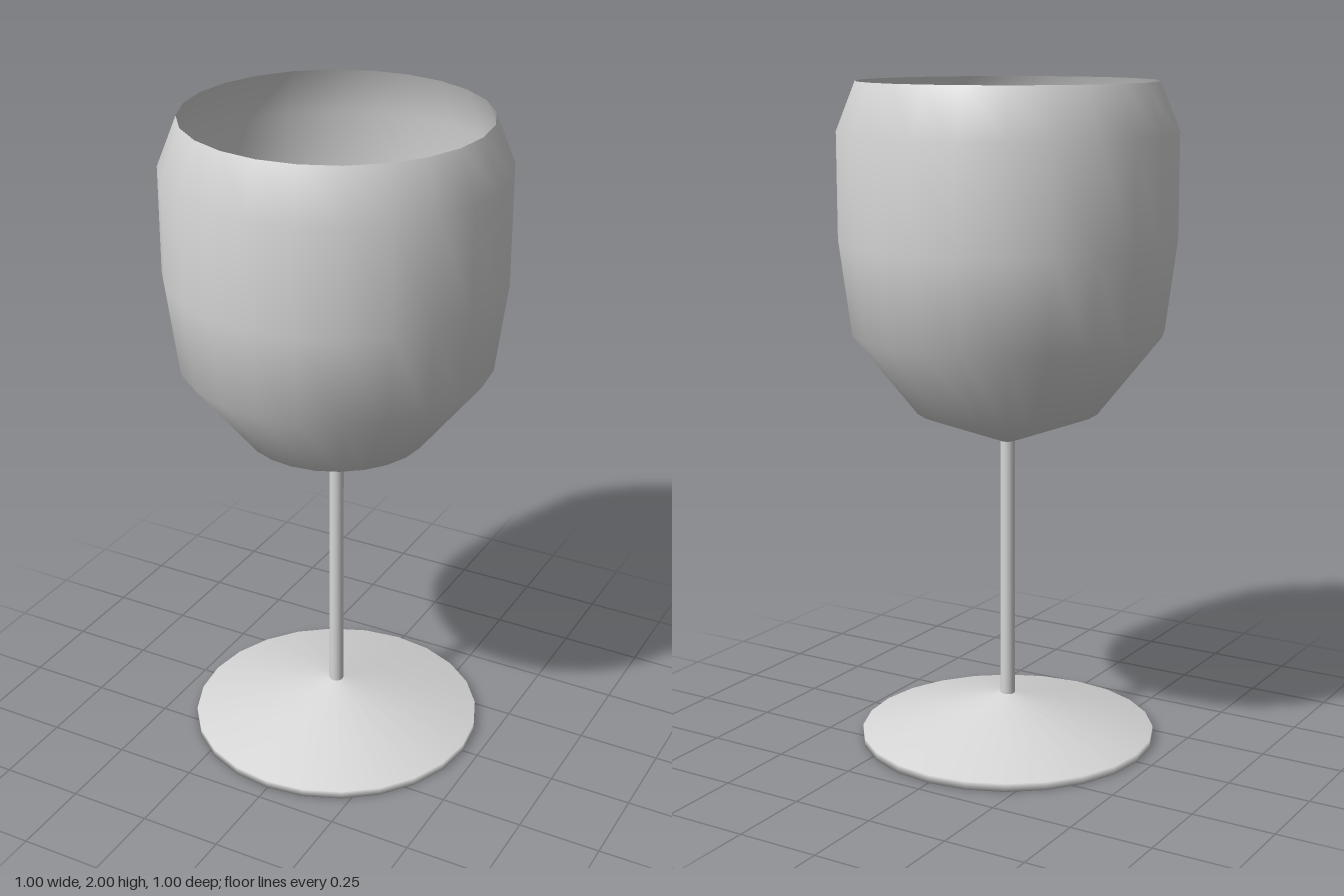
import * as THREE from 'three';

const SIDES = 24;

const glass = new THREE.MeshStandardMaterial({ color: 0xd6d6d6, side: THREE.DoubleSide });
glass.name = 'clear grey glass';
const redWine = new THREE.MeshStandardMaterial({ color: 0x7a3343 });
redWine.name = 'red wine';

// Turned part from [radius, height] pairs, listed so that faces point outward
function turned(name, profile, material) {
  const points = profile.map(([r, y]) => new THREE.Vector2(r, y));
  const mesh = new THREE.Mesh(new THREE.LatheGeometry(points, SIDES), material);
  mesh.name = name;
  return mesh;
}

export function createModel() {
  const group = new THREE.Group();
  group.name = 'wineGlass';

  // Flat-bottomed conical foot
  group.add(turned('foot', [[0, 0], [0.45, 0], [0.45, 0.025], [0.022, 0.135]], glass));

  // Slim straight stem
  group.add(turned('stem', [[0.022, 0.135], [0.022, 0.935]], glass));

  // Open thin-walled bowl, narrowing at the rim
  group.add(turned('bowl', [
    [0.022, 0.935], [0.275, 1.03], [0.465, 1.27],
    [0.5, 1.54], [0.5, 1.855], [0.442, 2],
  ], glass));

  // Wine filling the lower bowl, just inside the wall
  group.add(turned('wine', [
    [0, 0.95], [0.267, 1.04], [0.455, 1.275], [0.49, 1.54], [0, 1.54],
  ], redWine));

  return group;
}
